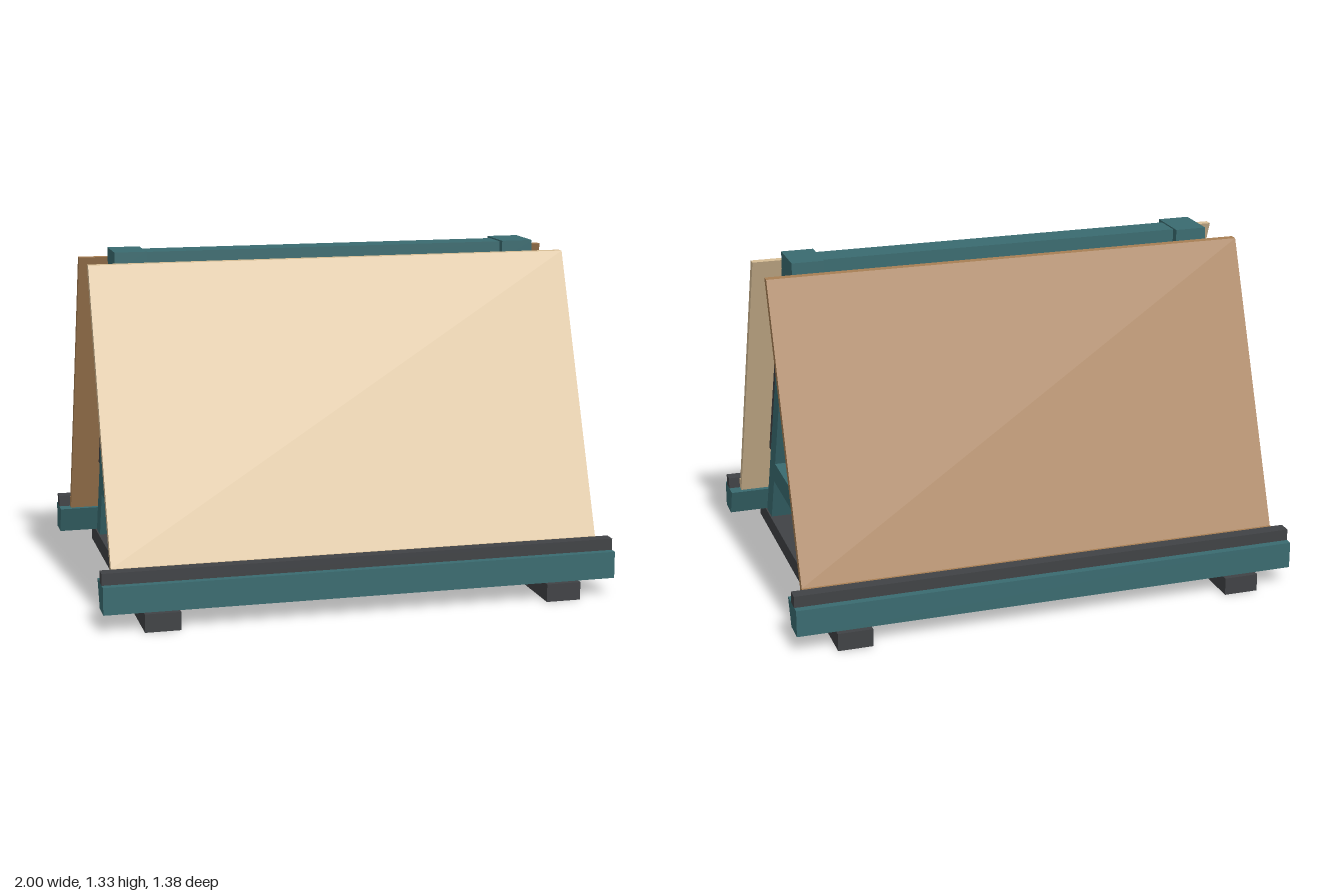
import * as THREE from 'three';

const mat = (color) => new THREE.MeshStandardMaterial({ color, flatShading: true });

export function createModel() {
  const model = new THREE.Group();
  const teal = mat(0x3a6b70), dark = mat(0x404245), tan = mat(0xd8be96), brown = mat(0xa87f54);

  const box = (name, material, size, pos) => {
    const mesh = new THREE.Mesh(new THREE.BoxGeometry(...size), material);
    mesh.name = name;
    mesh.position.set(...pos);
    model.add(mesh);
    return mesh;
  };

  // Side profile of [z, y] points, extruded along x and centred on the given x
  const toPoints = (list, side = 1) => list.map(([z, y]) => new THREE.Vector2(z * side, y));
  const profile = (name, material, points, width, x = 0, side = 1, hole = []) => {
    const shape = new THREE.Shape(toPoints(points, side));
    for (const h of hole) shape.holes.push(new THREE.Path(toPoints(h)));
    const geo = new THREE.ExtrudeGeometry(shape, { depth: width, bevelEnabled: false });
    geo.translate(0, 0, -width / 2).rotateY(-Math.PI / 2);
    const mesh = new THREE.Mesh(geo, material);
    mesh.name = name;
    mesh.position.x = x;
    model.add(mesh);
  };

  // Outer face of the sloping legs
  const slope = 0.403;
  const legZ = (y) => 0.09 + slope * (1.26 - y);
  const innerZ = (y) => slope * (1.26 - y);

  for (const sx of [1, -1]) {
    const x = sx * 0.783;
    box('skid', dark, [0.136, 0.07, 1.385], [x, 0.035, 0]);

    // A-shaped end frame: legs, crossbar and cap in one outline
    profile('endFrame', teal, [
      [-0.09, 1.33], [-0.09, 1.26], [-legZ(0.07), 0.07], [-innerZ(0.07), 0.07],
      [-innerZ(0.26), 0.26], [innerZ(0.26), 0.26], [innerZ(0.07), 0.07],
      [legZ(0.07), 0.07], [0.09, 1.26], [0.09, 1.33],
    ], 0.125, x, 1, [[[0, 1.26], [-innerZ(0.35), 0.35], [innerZ(0.35), 0.35]]]);

    // Pads between legs and boards
    for (const side of [1, -1]) {
      profile('legPad', dark, [
        [legZ(1.125), 1.125], [legZ(0.385), 0.385],
        [legZ(0.385) + 0.03, 0.385], [legZ(1.125) + 0.03, 1.125],
      ], 0.125, x, side);
    }
  }

  // Ridge beam, lower rail and the diagonal brace between them
  box('ridgeBeam', teal, [1.44, 0.11, 0.115], [0, 1.27, 0]);
  box('lowerRail', teal, [1.44, 0.085, 0.09], [0, 0.305, 0]);
  const rise = 0.9, run = 1.42;
  const brace = box('diagonalBrace', teal, [Math.hypot(rise, run), 0.07, 0.07], [0, 0.78, 0]);
  brace.rotation.z = Math.atan2(rise, run);

  // Board, ledge and retaining lip on each side
  for (const side of [1, -1]) {
    const where = side > 0 ? 'front' : 'back';
    profile(where + 'Board', side > 0 ? tan : brown, [
      [0.108, 1.29], [0.141, 1.29], [0.573, 0.217],
      [0.59, 0.217], [0.59, 0.175], [0.557, 0.175],
    ], 1.91, 0, side);
    profile(where + 'Ledge', teal, [
      [0.67, 0.07], [0.67, 0.175], [0.535, 0.175], [0.578, 0.07],
    ], 2, 0, side);
    box(where + 'Lip', dark, [2, 0.045, 0.05], [0, 0.1975, side * 0.615]);
  }
  return model;
}
